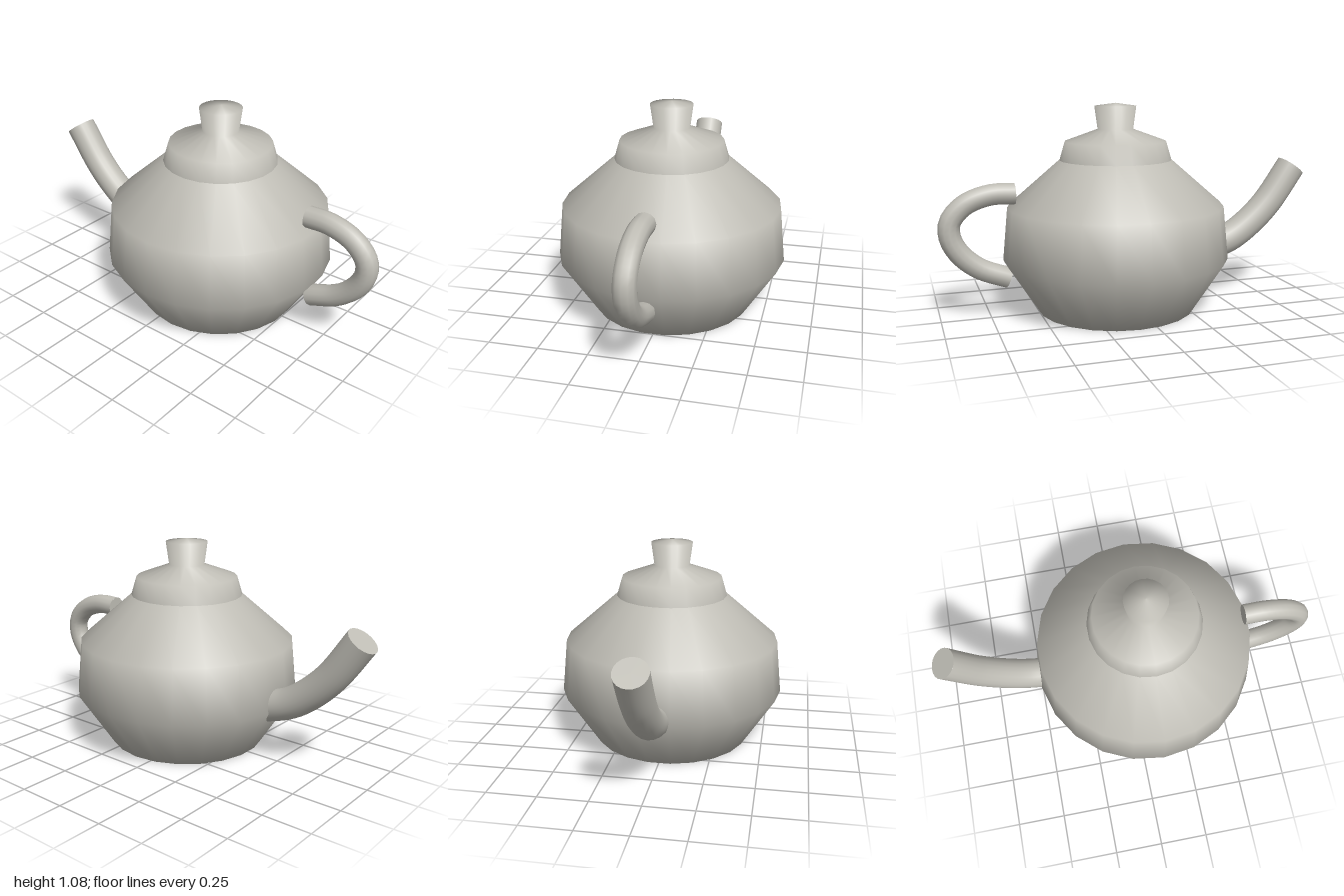
import * as THREE from 'three';

const CENTER_X = 0.09;
const SIDES = 22;

export function createModel() {
  const group = new THREE.Group();
  const clay = new THREE.MeshStandardMaterial({ color: 0xbfbdb5 });
  clay.name = 'grey clay';

  // Smoothly shaded turned part around the pot's axis
  function turned(name, profile) {
    const points = profile.map(([r, y]) => new THREE.Vector2(r, y));
    const mesh = new THREE.Mesh(new THREE.LatheGeometry(points, SIDES), clay);
    mesh.name = name;
    mesh.position.x = CENTER_X;
    group.add(mesh);
  }

  // Bent round bar with flat caps on both ends
  function bar(name, path, radius, sides) {
    const curve = new THREE.CatmullRomCurve3(path.map(([x, y]) => new THREE.Vector3(x, y, 0)));
    const part = new THREE.Group();
    part.name = name;
    const tube = new THREE.Mesh(new THREE.TubeGeometry(curve, 28, radius, sides), clay);
    tube.name = name + 'Tube';
    part.add(tube);
    for (const end of [0, 1]) {
      const cap = new THREE.Mesh(new THREE.CircleGeometry(radius, sides), clay);
      cap.name = name + (end ? 'EndCap' : 'StartCap');
      const outward = curve.getTangentAt(end).multiplyScalar(end ? 1 : -1);
      cap.position.copy(curve.getPointAt(end));
      cap.quaternion.setFromUnitVectors(new THREE.Vector3(0, 0, 1), outward);
      part.add(cap);
    }
    group.add(part);
  }

  // Pot body with closed base
  turned('body', [[0, 0], [0.41, 0], [0.587, 0.275], [0.56, 0.55], [0.29, 0.785]]);

  // Lid with its knob
  turned('lid', [[0.29, 0.785], [0.262, 0.88], [0.092, 0.942], [0.108, 1.06], [0, 1.075]]);

  // Spout on the right side
  bar('spout', [[-0.43, 0.283], [-0.56, 0.328], [-0.67, 0.4], [-0.79, 0.515], [-0.932, 0.712]], 0.08, 20);

  // Handle on the left side
  bar('handle', [[0.617, 0.632], [0.74, 0.631], [0.865, 0.587], [0.938, 0.505], [0.94, 0.425],
    [0.893, 0.338], [0.8, 0.26], [0.655, 0.202]], 0.054, 12);

  return group;
}
